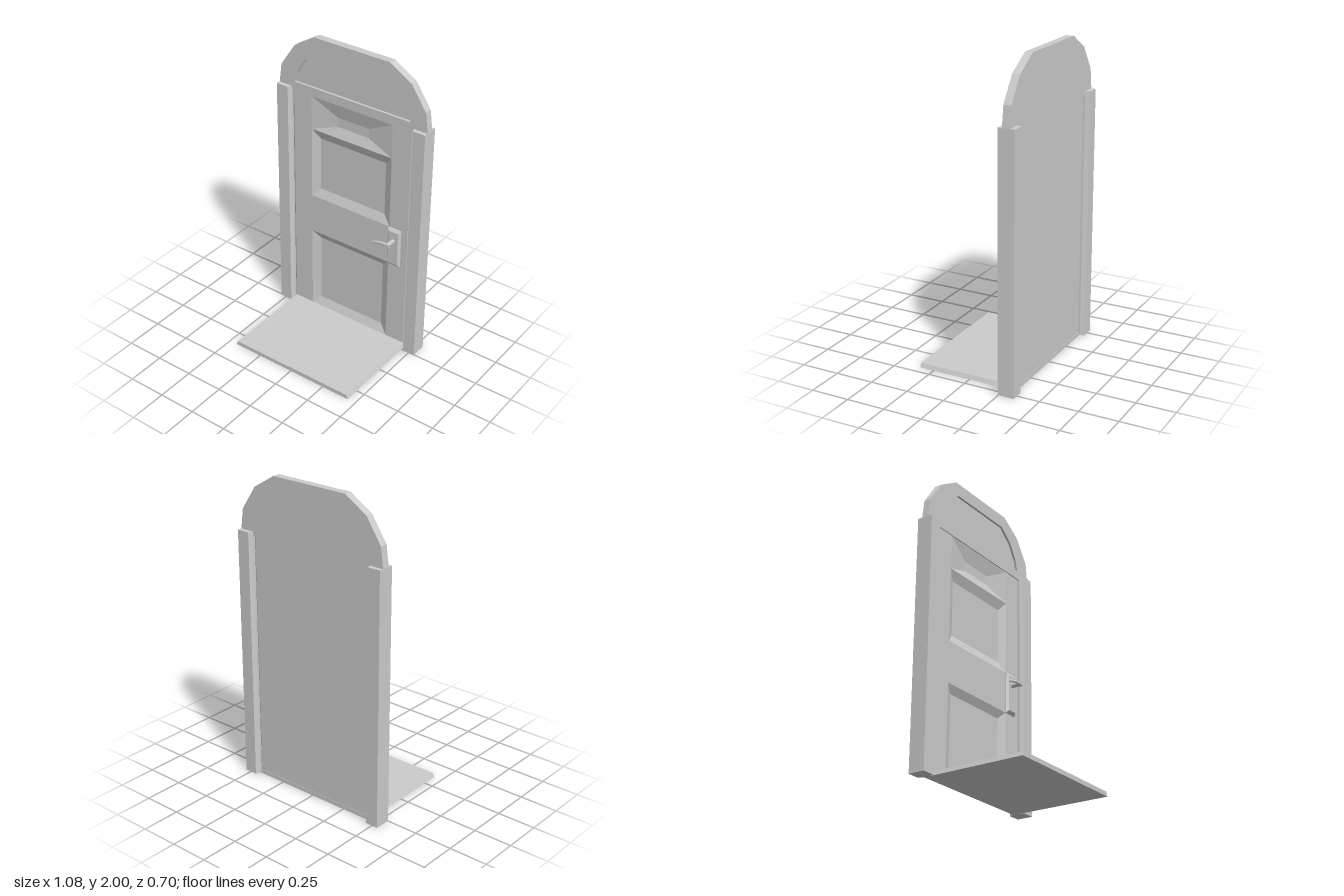
import * as THREE from 'three';

const material = new THREE.MeshStandardMaterial({ color: 0xcccccc, flatShading: true });

// Rectangle loop (counter-clockwise from the front) at depth z
const rect = (x0, x1, y0, y1, z) => [[x0, y0, z], [x1, y0, z], [x1, y1, z], [x0, y1, z]];

// Skin between four-cornered loops, with optional end caps
function loft(loops, capStart, capEnd) {
  const pos = [];
  const quad = (a, b, c, d) => pos.push(...a, ...b, ...c, ...a, ...c, ...d);
  for (let i = 0; i + 1 < loops.length; i++) {
    for (let j = 0; j < 4; j++) {
      const k = (j + 1) % 4;
      quad(loops[i][j], loops[i][k], loops[i + 1][k], loops[i + 1][j]);
    }
  }
  if (capStart) quad(...[...loops[0]].reverse());
  if (capEnd) quad(...loops[loops.length - 1]);
  const g = new THREE.BufferGeometry();
  g.setAttribute('position', new THREE.Float32BufferAttribute(pos, 3));
  g.computeVertexNormals();
  return g;
}

function add(parent, name, geometry) {
  const mesh = new THREE.Mesh(geometry, material);
  mesh.name = name;
  parent.add(mesh);
  return mesh;
}

const points = (list) => list.map(([x, y]) => new THREE.Vector2(x, y));

// Closed outline from its right half, listed bottom to top
const mirrored = (half) => points([...half, ...[...half].reverse().map(([x, y]) => [-x, y])]);

const extrude = (shape, depth) => new THREE.ExtrudeGeometry(shape, { depth, bevelEnabled: false });

export function createModel() {
  const model = new THREE.Group();
  model.name = 'door';

  // Side posts with chamfered inner edges, drawn in plan and stood upright
  const plan = [[0.54, 0.247], [0.54, 0.353], [0.456, 0.353], [0.444, 0.324], [0.444, 0.275], [0.456, 0.247]];
  for (const side of [1, -1]) {
    const shape = new THREE.Shape(points(plan.map(([x, y]) => [x * side, y])));
    const post = extrude(shape, 1.627);
    post.rotateX(-Math.PI / 2);
    add(model, side > 0 ? 'leftPost' : 'rightPost', post);
  }

  // Arched head: solid back layer plus a front layer with the window opening
  const outer = mirrored([[0.444, 1.603], [0.444, 1.62], [0.54, 1.62], [0.522, 1.755], [0.42, 1.907], [0.268, 2]]);
  const opening = mirrored([[0.42, 1.663], [0.4, 1.735], [0.34, 1.834], [0.24, 1.913]]);
  const archFront = new THREE.Shape(outer);
  archFront.holes.push(new THREE.Path(opening));
  add(model, 'archBack', extrude(new THREE.Shape(outer), 0.034)).position.z = -0.324;
  add(model, 'archFront', extrude(archFront, 0.015)).position.z = -0.29;

  // Door leaf: chamfered body, open at the front
  const door = new THREE.Group();
  door.name = 'doorLeaf';
  model.add(door);
  const front = -0.28, w = 0.432, bottom = 0.028, top = 1.6;
  add(door, 'doorBody', loft([
    rect(-w, w, bottom, top, -0.318),
    rect(-0.446, 0.446, 0.012, 1.612, -0.308),
    rect(-0.446, 0.446, 0.012, 1.612, -0.29),
    rect(-w, w, bottom, top, front),
  ], true, false));

  // Flat stiles and middle rail
  const flats = [['leftStile', 0.297, w, bottom, top], ['rightStile', -w, -0.297, bottom, top],
    ['middleRail', -0.297, 0.297, 0.615, 0.885]];
  for (const [name, ...r] of flats) add(door, name, loft([rect(...r, front)], false, true));

  // Sunken panels: [name, y range, inner half width, inner y range]
  const panels = [
    ['lowerPanel', bottom, 0.615, 0.243, 0.085, 0.565],
    ['middlePanel', 0.885, 1.373, 0.243, 0.945, 1.31],
    ['upperPanel', 1.373, top, 0.114, 1.437, 1.5],
  ];
  for (const [name, y0, y1, hw, iy0, iy1] of panels) {
    add(door, name, loft([
      rect(-0.297, 0.297, y0, y1, front),
      rect(-hw, hw, iy0, iy1, front - 0.024),
    ], false, true));
  }

  // Handle: bevelled plate, stem and a tapered, drooping lever
  const handle = new THREE.Group();
  handle.name = 'handle';
  model.add(handle);
  add(handle, 'handlePlate', loft([
    rect(0.295, 0.387, 0.615, 0.885, -0.282),
    rect(0.295, 0.387, 0.615, 0.885, -0.274),
    rect(0.307, 0.376, 0.632, 0.868, -0.26),
  ], true, true));
  const stem = new THREE.CylinderGeometry(0.014, 0.014, 0.078, 8);
  stem.rotateX(Math.PI / 2);
  add(handle, 'handleStem', stem).position.set(0.341, 0.805, -0.227);

  const lever = new THREE.CylinderGeometry(0.007, 0.013, 0.13, 8, 6);
  lever.rotateZ(Math.PI / 2);
  const p = lever.attributes.position;
  for (let i = 0; i < p.count; i++) {
    const t = (0.065 - p.getX(i)) / 0.13;
    p.setY(i, p.getY(i) + 0.012 * t - 0.03 * t * t);
    p.setZ(i, p.getZ(i) * 0.9 - 0.002 * t);
  }
  lever.computeVertexNormals();
  add(handle, 'handleLever', lever).position.set(0.29, 0.805, -0.199);

  // Threshold slab with sloping sides
  const slab = new THREE.Shape(points([[-0.444, 0], [0.444, 0], [0.433, 0.028], [-0.433, 0.028]]));
  add(model, 'threshold', extrude(slab, 0.666)).position.z = -0.32;

  return model;
}
